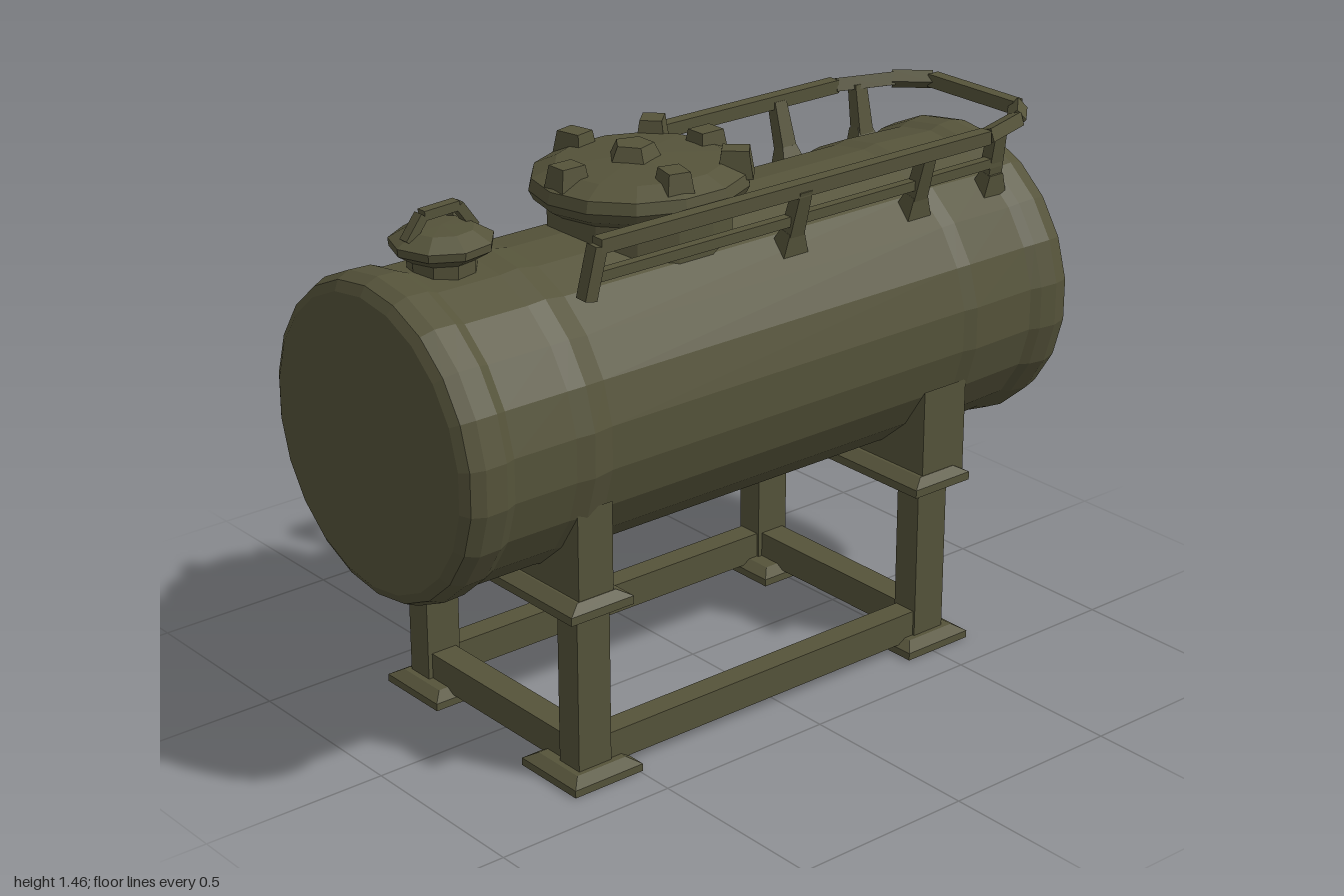
import * as THREE from 'three';

const material = new THREE.MeshStandardMaterial({ color: 0x55533a, flatShading: true });
const V = (x, y, z) => new THREE.Vector3(x, y, z);

export function createModel() {
  const model = new THREE.Group();
  model.name = 'storageTank';

  function add(name, geometry, x = 0, y = 0, z = 0, parent = model) {
    const mesh = new THREE.Mesh(geometry, material);
    mesh.name = name;
    mesh.position.set(x, y, z);
    parent.add(mesh);
    return mesh;
  }

  // Box whose top face is narrowed by the given factors
  function taperedBox(w, h, d, topX = 1, topZ = topX) {
    const g = new THREE.BoxGeometry(w, h, d);
    const p = g.attributes.position;
    for (let i = 0; i < p.count; i++) {
      if (p.getY(i) > 0) p.setXYZ(i, p.getX(i) * topX, p.getY(i), p.getZ(i) * topZ);
    }
    return g;
  }

  // Square bar between two points, optionally narrower at its far end
  function bar(name, a, b, w, d = w, taper = 1, parent = model) {
    const dir = b.clone().sub(a);
    const mesh = add(name, taperedBox(w, dir.length(), d, taper), 0, 0, 0, parent);
    mesh.position.copy(a).add(b).multiplyScalar(0.5);
    mesh.quaternion.setFromUnitVectors(V(0, 1, 0), dir.normalize());
    return mesh;
  }

  const lathe = (points, sides) =>
    new THREE.LatheGeometry(points.map(([r, y]) => new THREE.Vector2(r, y)), sides);

  // Horizontal vessel with thicker end bands and bevelled flat ends
  const vessel = lathe([
    [0, -0.97], [0.355, -0.97], [0.395, -0.945], [0.407, -0.9], [0.402, -0.85],
    [0.392, -0.82], [0.398, -0.62], [0.391, -0.58], [0.391, 0.57], [0.402, 0.63],
    [0.396, 0.68], [0.396, 0.86], [0.408, 0.89], [0.41, 0.95], [0.395, 0.985],
    [0.37, 1.0], [0, 1.0],
  ], 22);
  vessel.rotateX(Math.PI / 2);
  add('tankBody', vessel, 0, 0.888, 0);

  // Stand: a saddle, a flange, two legs and two feet at each end
  const stand = new THREE.Group();
  stand.name = 'stand';
  model.add(stand);

  const saddleShape = new THREE.Shape();
  saddleShape.moveTo(-0.365, 0.48);
  saddleShape.lineTo(0.365, 0.48);
  saddleShape.lineTo(0.365, 0.74);
  const start = Math.atan2(0.74 - 0.888, 0.365);
  for (let i = 1; i <= 12; i++) {
    const a = start + (-Math.PI - 2 * start) * (i / 12);
    saddleShape.lineTo(Math.cos(a) * 0.385, 0.888 + Math.sin(a) * 0.385);
  }
  saddleShape.lineTo(-0.365, 0.74);
  saddleShape.closePath();

  const supports = [
    { z: 0.607, saddleBack: 0.555, saddleDepth: 0.105, footZ: 0.597 },
    { z: -0.52, saddleBack: -0.615, saddleDepth: 0.145, footZ: -0.518 },
  ];
  for (const s of supports) {
    const saddle = new THREE.ExtrudeGeometry(saddleShape, { depth: s.saddleDepth, bevelEnabled: false });
    add('saddle', saddle, 0, 0, s.saddleBack, stand);
    add('saddleFlange', taperedBox(0.78, 0.022, 0.19, 1), 0, 0.475, s.z, stand);
    add('saddleFlangeTop', taperedBox(0.78, 0.02, 0.19, 0.94, 0.62), 0, 0.496, s.z, stand);
    for (const side of [-1, 1]) {
      add('leg', new THREE.BoxGeometry(0.077, 0.46, 0.1), side * 0.3135, 0.245, s.z, stand);
      add('foot', taperedBox(0.215, 0.02, 0.21), side * 0.287, 0.01, s.footZ, stand);
      add('footTop', taperedBox(0.215, 0.018, 0.21, 0.72), side * 0.287, 0.029, s.footZ, stand);
    }
    add('crossRail', new THREE.BoxGeometry(0.6, 0.083, 0.075), 0, 0.066, s.z, stand);
  }
  for (const side of [-1, 1]) {
    add('sideRail', new THREE.BoxGeometry(0.065, 0.083, 1.1), side * 0.3135, 0.066, 0.043, stand);
  }

  // Main hatch: neck, overhanging lid and clamping lugs
  const hatch = new THREE.Group();
  hatch.name = 'mainHatch';
  hatch.position.set(0, 0, 0.168);
  model.add(hatch);
  const lid = add('hatchLid', lathe([
    [0.22, 1.2], [0.22, 1.315], [0.25, 1.335], [0.262, 1.36], [0.255, 1.39], [0.2, 1.415], [0, 1.43],
  ], 14), 0, 0, 0, hatch);
  lid.scale.z = 1.09;
  const lugs = [[0, -0.21], [0.16, -0.17], [0.19, 0.05], [0, 0.225], [-0.2, 0.045], [-0.16, -0.17]];
  for (const [x, z] of lugs) {
    const lug = add('hatchLug', taperedBox(0.075, 0.07, 0.09, 0.75), x, 1.412, z, hatch);
    lug.rotation.y = Math.atan2(x, z);
  }
  add('hatchBoss', new THREE.CylinderGeometry(0.05, 0.075, 0.05, 5), 0, 1.435, 0.02, hatch);

  // Small filler cap with an arched handle
  add('fillerCap', lathe([
    [0.085, 1.24], [0.085, 1.305], [0.125, 1.33], [0.127, 1.35], [0.08, 1.378], [0, 1.382],
  ], 9), 0, 0, 0.765);
  const handlePath = [V(0, 1.36, 0.865), V(0, 1.418, 0.82), V(0, 1.422, 0.72), V(0, 1.36, 0.675)];
  for (let i = 0; i < 3; i++) bar('fillerHandle', handlePath[i], handlePath[i + 1], 0.028, 0.024);

  // Guard rail: long on the left, short on the right, joined round the back
  const guard = new THREE.Group();
  guard.name = 'guardRail';
  model.add(guard);
  const railPath = [
    V(0.27, 1.22, 0.55), V(0.275, 1.35, 0.52), V(0.285, 1.352, -0.74), V(0.235, 1.352, -0.9),
    V(0.16, 1.352, -0.98), V(-0.16, 1.352, -0.98), V(-0.235, 1.352, -0.9),
    V(-0.29, 1.352, -0.74), V(-0.29, 1.352, -0.11), V(-0.265, 1.19, -0.1),
  ];
  for (let i = 0; i < railPath.length - 1; i++) {
    bar('topRail', railPath[i], railPath[i + 1], 0.036, 0.036, 1, guard);
  }
  bar('lowerRail', V(0.255, 1.265, 0.53), V(0.255, 1.265, -0.82), 0.026, 0.026, 1, guard);

  // Posts with flared bases
  for (const [side, z] of [[1, -0.11], [1, -0.53], [1, -0.8], [-1, -0.53], [-1, -0.8]]) {
    const topX = z < -0.7 ? 0.265 : 0.285;
    bar('railPost', V(side * 0.235, 1.18, z), V(side * topX, 1.35, z), 0.04, 0.05, 0.8, guard);
    bar('postBase', V(side * 0.235, 1.18, z), V(side * 0.25, 1.235, z), 0.06, 0.08, 0.6, guard);
  }

  // Loose stub ahead of the short rail
  bar('railStub', V(-0.245, 1.18, 0.53), V(-0.262, 1.3, 0.54), 0.055, 0.06, 0.5, guard);
  bar('railStubBase', V(-0.245, 1.18, 0.53), V(-0.25, 1.225, 0.53), 0.08, 0.08, 0.6, guard);

  return model;
}
